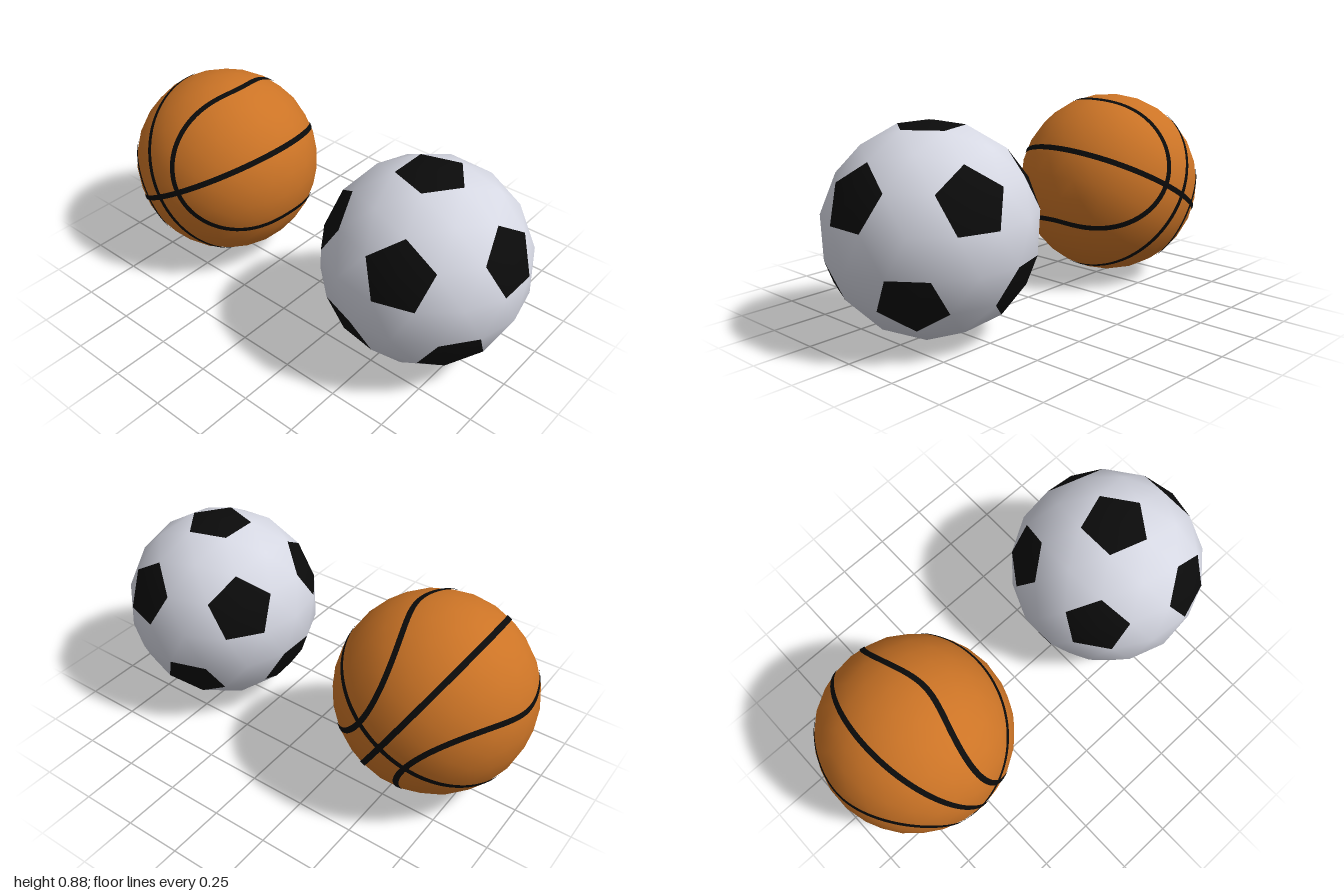
import * as THREE from 'three';

const material = (name, color) => new THREE.MeshStandardMaterial({ name, color });

// Mesh from flat position list, with smooth normals pointing away from the ball centre
function ballSurface(name, positions, mat) {
  const geometry = new THREE.BufferGeometry();
  const normals = [];
  for (let i = 0; i < positions.length; i += 3) {
    const n = new THREE.Vector3().fromArray(positions, i).normalize();
    normals.push(n.x, n.y, n.z);
  }
  geometry.setAttribute('position', new THREE.Float32BufferAttribute(positions, 3));
  geometry.setAttribute('normal', new THREE.Float32BufferAttribute(normals, 3));
  const mesh = new THREE.Mesh(geometry, mat);
  mesh.name = name;
  return mesh;
}

// Flat closed band that follows a direction path around a sphere
function seam(name, path, radius, width, mat) {
  const steps = 128, rows = [];
  for (let i = 0; i <= steps; i++) {
    const t = (i / steps) * Math.PI * 2;
    const p = path(t).normalize();
    const tangent = path(t + 0.001).normalize().sub(path(t - 0.001).normalize());
    const side = new THREE.Vector3().crossVectors(p, tangent).setLength(width / 2 / radius);
    rows.push([p.clone().sub(side).setLength(radius), p.clone().add(side).setLength(radius)]);
  }
  const positions = [];
  for (let i = 0; i < steps; i++) {
    const [r0, l0] = rows[i], [r1, l1] = rows[i + 1];
    for (const v of [r0, r1, l1, r0, l1, l0]) positions.push(v.x, v.y, v.z);
  }
  return ballSurface(name, positions, mat);
}

function createBasketball(orange, black) {
  const group = new THREE.Group();
  group.name = 'basketball';
  const R = 0.424;
  const body = new THREE.Mesh(new THREE.IcosahedronGeometry(R, 4), orange);
  body.name = 'basketballBody';
  group.add(body);

  // Seams, laid out with the long axis on x and then tilted
  const seams = new THREE.Group();
  seams.name = 'basketballSeams';
  const add = (name, path) => seams.add(seam(name, path, R + 0.001, 0.025, black));
  add('lengthSeam', t => new THREE.Vector3(Math.cos(t), 0, Math.sin(t)));
  add('crossSeam', t => new THREE.Vector3(0, Math.cos(t), Math.sin(t)));
  for (const s of [-1, 1]) {
    add(s < 0 ? 'rightCurvedSeam' : 'leftCurvedSeam', t => {
      const a = (0.122 + 0.175 * Math.sin(t) ** 2) / R;
      const b = Math.sqrt(1 - a * a);
      return new THREE.Vector3(s * a, b * Math.sin(t), b * Math.cos(t));
    });
  }
  seams.rotation.z = Math.PI / 6;
  group.add(seams);
  group.position.set(-0.577, 0.443, 0);
  return group;
}

function createFootball(white, black) {
  const group = new THREE.Group();
  group.name = 'football';
  const R = 0.438;

  // Centres of the twelve pentagons: two poles and two rings of five
  const centres = [new THREE.Vector3(0, 1, 0), new THREE.Vector3(0, -1, 0)];
  for (let i = 0; i < 10; i++) {
    const a = (i * Math.PI) / 5, y = (i % 2 ? -1 : 1) / Math.sqrt(5);
    centres.push(new THREE.Vector3(Math.cos(a) * 2 / Math.sqrt(5), y, Math.sin(a) * 2 / Math.sqrt(5)));
  }

  const geometry = new THREE.IcosahedronGeometry(R, 2);
  geometry.rotateZ(-Math.atan(2 / (1 + Math.sqrt(5))));
  const pos = geometry.attributes.position;
  const panels = { white: [], black: [] };
  const pentagonAngle = THREE.MathUtils.degToRad(19.3);
  for (let i = 0; i < pos.count; i += 3) {
    let dark = false;
    const corners = [];
    for (let k = 0; k < 3; k++) {
      const v = new THREE.Vector3().fromBufferAttribute(pos, i + k);
      const centre = centres.reduce((a, b) => (a.dot(v) > b.dot(v) ? a : b));
      const angle = centre.angleTo(v);
      if (angle < 0.05) dark = true;
      else if (angle < 0.4) {
        // Pull the pentagon corners slightly inwards
        const out = v.clone().addScaledVector(centre, -v.dot(centre)).normalize();
        v.copy(centre).multiplyScalar(Math.cos(pentagonAngle));
        v.addScaledVector(out, Math.sin(pentagonAngle)).setLength(R);
      }
      corners.push(v.x, v.y, v.z);
    }
    panels[dark ? 'black' : 'white'].push(...corners);
  }
  group.add(ballSurface('hexagonPanels', panels.white, white));
  group.add(ballSurface('pentagonPanels', panels.black, black));
  group.position.set(0.57, R, 0);
  return group;
}

export function createModel() {
  const orange = material('orange', 0xcc7426);
  const white = material('white', 0xd6d8e3);
  const black = material('black', 0x0b0b0b);
  const model = new THREE.Group();
  model.name = 'sportsBalls';
  model.add(createBasketball(orange, black), createFootball(white, black));
  return model;
}
